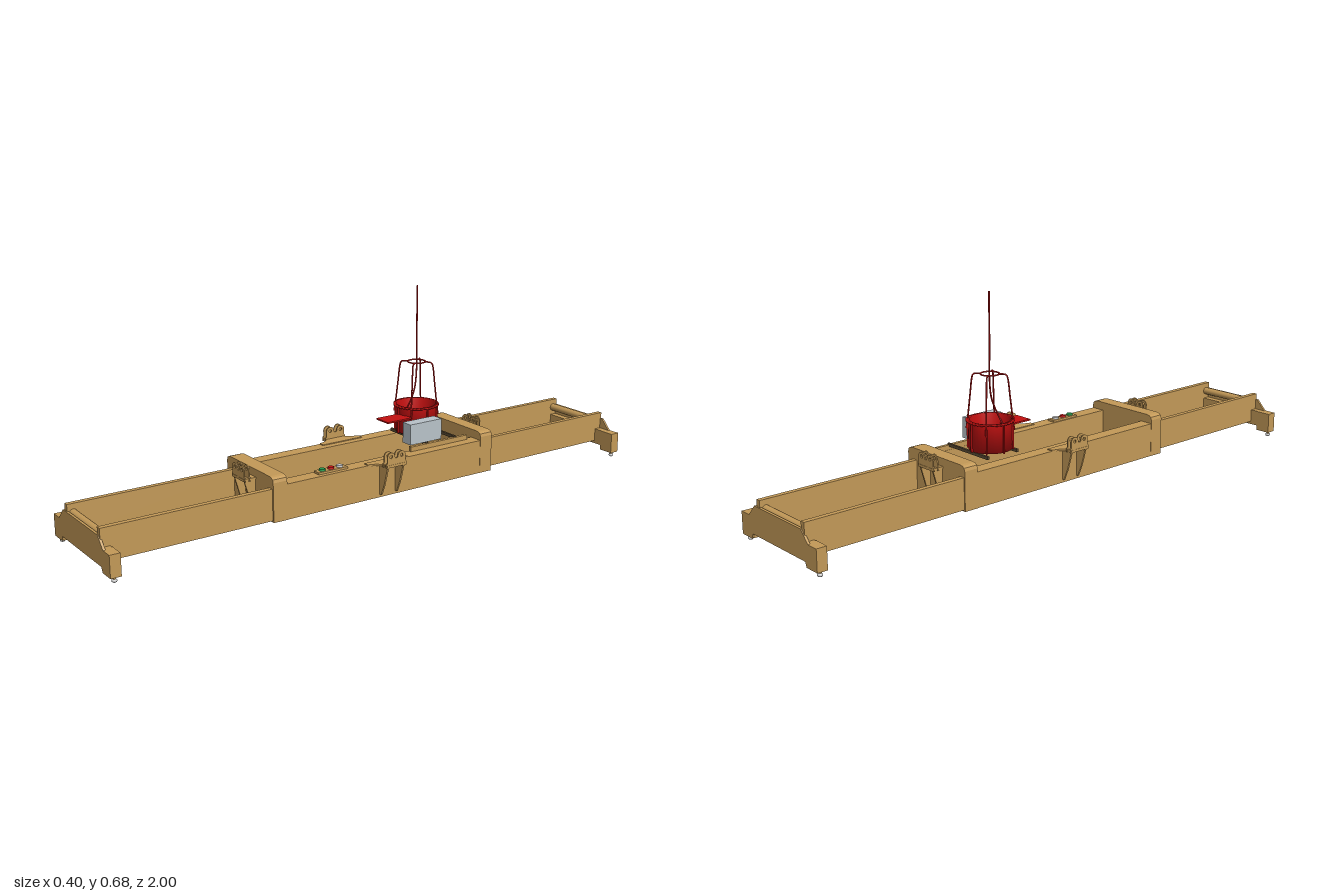
import * as THREE from 'three';

const mat = (color, side = THREE.FrontSide) => new THREE.MeshStandardMaterial({ color, side });
const TAN = mat(0xc49a58);
const RED = mat(0xc41010, THREE.DoubleSide);
const BOX_GREY = mat(0xb9c3c9);
const GREY = mat(0xcccccc);
const DARK = mat(0x5a4a32);
const GREEN = mat(0x1f9a4c);

const V = (x, y, z) => new THREE.Vector3(x, y, z);

function add(parent, name, geo, material, x = 0, y = 0, z = 0) {
  const m = new THREE.Mesh(geo, material);
  m.name = name;
  m.position.set(x, y, z);
  parent.add(m);
  return m;
}

// Box given by its min and max on every axis
function box(parent, name, material, x0, x1, y0, y1, z0, z1) {
  return add(parent, name, new THREE.BoxGeometry(x1 - x0, y1 - y0, z1 - z0), material,
    (x0 + x1) / 2, (y0 + y1) / 2, (z0 + z1) / 2);
}

const poly = pts => new THREE.Shape(pts.map(p => new THREE.Vector2(...p)));
const extrude = (shape, depth) =>
  new THREE.ExtrudeGeometry(shape, { depth, bevelEnabled: false, curveSegments: 10 });
const tube = (pts, r, n = 30) => new THREE.TubeGeometry(new THREE.CatmullRomCurve3(pts), n, r, 8);

// Plate with two rounded ears, each with a pin hole
function earShape() {
  const s = new THREE.Shape();
  s.moveTo(-0.04, 0.15);
  s.lineTo(0.04, 0.15);
  s.lineTo(0.04, 0.162);
  s.lineTo(0.036, 0.166);
  s.absarc(0.021, 0.185, 0.015, 0, Math.PI, false);
  s.lineTo(0.004, 0.18);
  s.lineTo(-0.004, 0.18);
  s.absarc(-0.021, 0.185, 0.015, 0, Math.PI, false);
  s.lineTo(-0.036, 0.166);
  s.lineTo(-0.04, 0.162);
  for (const x of [-0.021, 0.021]) {
    const h = new THREE.Path();
    h.absarc(x, 0.186, 0.0055, 0, Math.PI * 2, true);
    s.holes.push(h);
  }
  return s;
}

// Lifting bracket, built facing +z with the frame wall at z = 0
function liftingBracket(flare) {
  const g = new THREE.Group();
  g.name = 'liftingBracket';
  for (const z of [0.024, 0.041]) add(g, 'lugPlate', extrude(earShape(), 0.004), TAN, 0, 0, z);
  const w = flare ? 0.08 : 0.037;
  const shelf = poly([[-w, -0.02], [w, -0.02], [w, 0], [w - (flare ? 0.025 : 0), 0.008],
    [0.037, 0.024], [0.037, 0.046], [-0.037, 0.046], [-0.037, 0.024],
    [-w + (flare ? 0.025 : 0), 0.008], [-w, 0]]);
  add(g, 'shelf', extrude(shelf, 0.006).rotateX(Math.PI / 2), TAN, 0, 0.159, 0);
  // Tapered ribs under the shelf
  const rib = poly([[-0.01, 0.05], [0.008, 0.05], [0.025, 0.09], [0.044, 0.155], [-0.01, 0.155]]);
  for (const x of [-0.034, 0.028])
    add(g, 'rib', extrude(rib, 0.006).rotateY(-Math.PI / 2), TAN, x + 0.006, 0, 0);
  return g;
}

// End beam with corner boxes, roller and locking pins, facing +z
function endBeam(x0, x1) {
  const g = new THREE.Group();
  g.name = 'endBeam';
  const half = [[0.14, 0.035], [0.147, 0.019], [0.2, 0.019], [0.2, 0.09], [0.158, 0.09], [0.124, 0.126]];
  const mirrored = half.map(([x, y]) => [-x, y]).reverse();
  add(g, 'facePlate', extrude(poly([...half, ...mirrored]), 0.008), TAN, 0, 0, 0.992);
  box(g, 'bottomFlange', TAN, -0.15, 0.15, 0.035, 0.09, 0.968, 0.993);
  add(g, 'roller', new THREE.CylinderGeometry(0.013, 0.013, x1 - x0, 20).rotateZ(Math.PI / 2),
    TAN, (x0 + x1) / 2, 0.118, 0.978);
  for (const s of [-1, 1]) {
    box(g, 'cornerBox', TAN, s * 0.173 - 0.027, s * 0.173 + 0.027, 0.019, 0.09, 0.966, 0.994);
    const lug = new THREE.Shape();
    lug.absarc(0, 0, 0.008, 0, Math.PI * 2);
    const hole = new THREE.Path();
    hole.absarc(0, 0, 0.0035, 0, Math.PI * 2, true);
    lug.holes.push(hole);
    add(g, 'tieLug', extrude(lug, 0.005), TAN, s * 0.151, 0.028, 0.994);
    add(g, 'lockStem', new THREE.CylinderGeometry(0.005, 0.005, 0.014, 12), TAN, s * 0.186, 0.014, 0.983);
    add(g, 'lockHead', new THREE.SphereGeometry(0.0085, 14, 10).scale(1, 0.75, 1), GREY, s * 0.186, 0.0064, 0.983);
  }
  return g;
}

function cableBasket() {
  const g = new THREE.Group();
  g.name = 'cableBasket';
  const lathe = pts => new THREE.LatheGeometry(pts.map(p => new THREE.Vector2(...p)), 36);
  add(g, 'drum', lathe([[0.001, 0.178], [0.07, 0.178], [0.07, 0.266], [0.078, 0.268], [0.078, 0.273], [0.066, 0.273],
    [0.066, 0.182]]), RED);
  add(g, 'core', lathe([[0.032, 0.178], [0.026, 0.235], [0.001, 0.245]]), RED);
  // Coiled cable layers
  for (const [r, y] of [[0.058, 0.215], [0.048, 0.208], [0.038, 0.2]])
    add(g, 'cableCoil', new THREE.TorusGeometry(r, 0.006, 8, 36).rotateX(Math.PI / 2), RED, 0, y, 0);
  for (let i = 0; i < 8; i++) {
    const a = (i + 0.1) * Math.PI / 4;
    const bar = add(g, 'drumBar', new THREE.BoxGeometry(0.007, 0.092, 0.004), RED,
      Math.cos(a) * 0.072, 0.222, Math.sin(a) * 0.072);
    bar.rotation.y = -a;
  }
  // Guide cage
  for (let i = 0; i < 4; i++) {
    const a = Math.PI / 4 + 0.09 + i * Math.PI / 2;
    const p = (r, y) => V(Math.cos(a) * r, y, Math.sin(a) * r);
    add(g, 'cageLeg', tube([p(0.077, 0.24), p(0.072, 0.275), p(0.064, 0.345), p(0.057, 0.405), p(0.053, 0.416), p(0.044, 0.419), p(0.03, 0.419)], 0.0026), RED);
  }
  add(g, 'guideRing', new THREE.TorusGeometry(0.03, 0.0026, 8, 32).rotateX(Math.PI / 2), RED, 0, 0.419, 0);
  add(g, 'cable', tube([V(0, 0.68, 0), V(0, 0.58, 0), V(0, 0.49, 0), V(0.007, 0.42, 0.004), V(0.019, 0.34, 0.02),
    V(0.021, 0.3, 0.036), V(0.012, 0.265, 0.048), V(-0.01, 0.225, 0.055)], 0.0027, 60), RED);
  box(g, 'drumTray', RED, -0.01, 0.055, 0.238, 0.243, 0.06, 0.16);
  g.position.set(-0.033, 0, -0.245);
  return g;
}

export function createModel() {
  const model = new THREE.Group();
  model.name = 'containerSpreader';

  // Main frame
  box(model, 'rightRail', TAN, -0.142, -0.095, 0.04, 0.156, -0.435, 0.43);
  box(model, 'leftRail', TAN, 0.091, 0.14, 0.04, 0.156, -0.435, 0.43);
  const cap = poly([[-0.143, 0.04], [0.141, 0.04], [0.141, 0.168], [0.138, 0.178], [0.13, 0.183], [0.12, 0.185],
    [-0.122, 0.185], [-0.132, 0.183], [-0.14, 0.178], [-0.143, 0.168]]);
  for (const z of [-0.439, 0.384]) add(model, 'crossBeam', extrude(cap, 0.05), TAN, 0, 0, z);

  // Sliding beams, offset differently at each end
  for (const [x0, x1, z0, z1] of [[-0.116, -0.099, 0.4, 0.997], [0.117, 0.135, 0.4, 0.997],
    [-0.139, -0.122, -0.997, -0.4], [0.097, 0.114, -0.997, -0.4]])
    box(model, 'slidingBeam', TAN, x0, x1, 0.045, 0.148, z0, z1);

  model.add(endBeam(-0.1, 0.118));
  const back = endBeam(-0.098, 0.123);
  back.rotation.y = Math.PI;
  model.add(back);

  // Lifting brackets on all four sides
  for (const [i, x, z] of [[0, 0, 0.43], [1, 0.14, 0], [2, 0, -0.432], [3, -0.14, 0]]) {
    const b = liftingBracket(i % 2 === 1);
    b.rotation.y = i * Math.PI / 2;
    b.position.set(x, 0, z);
    model.add(b);
  }

  // Cable basket, its supports and the electrical box
  model.add(cableBasket());
  for (const z of [-0.31, -0.19]) box(model, 'basketSupport', DARK, -0.1, 0.1, 0.167, 0.177, z - 0.004, z + 0.004);
  box(model, 'supportRail', TAN, 0.092, 0.104, 0.156, 0.172, -0.36, -0.12);
  box(model, 'electricalBox', BOX_GREY, 0.065, 0.107, 0.18, 0.25, -0.245, -0.115);

  // Indicator panel
  box(model, 'indicatorPanel', TAN, 0.096, 0.125, 0.156, 0.163, 0.148, 0.258);
  [GREY, RED, GREEN].forEach((m, i) =>
    add(model, 'indicatorLamp', new THREE.CylinderGeometry(0.01, 0.011, 0.006, 18), m, 0.11, 0.166, 0.17 + i * 0.033));
  return model;
}
